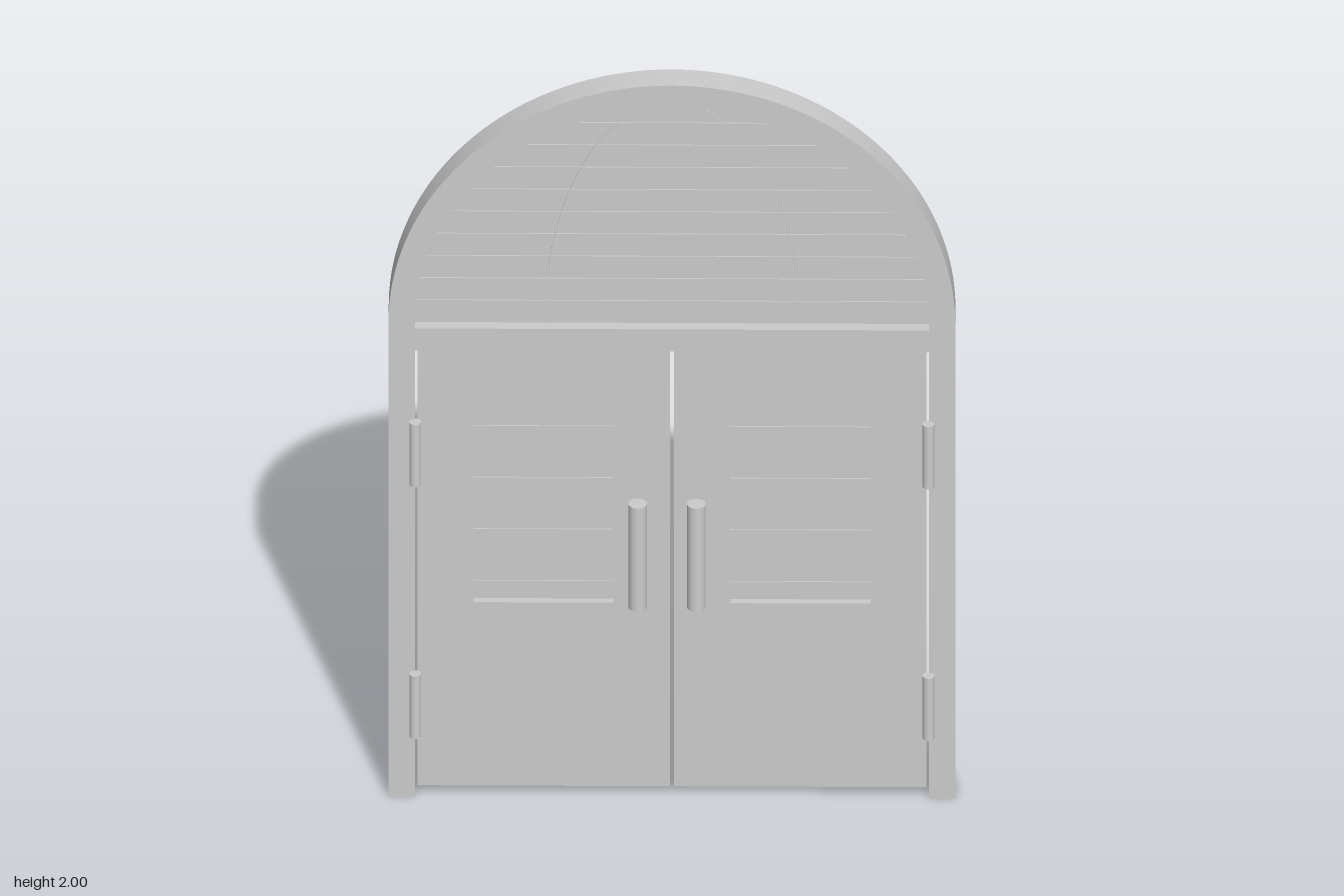
import * as THREE from 'three';
import { toCreasedNormals } from 'three/addons/utils/BufferGeometryUtils.js';

const SPRING = 1.333; // height where the arches begin
const IN = 0.605;     // half width of the openings
const SILL = 1.315;   // underside of the arched light

export function createModel() {
  const model = new THREE.Group();
  const mat = new THREE.MeshStandardMaterial({ color: 0xcccccc });

  function add(name, geo, x = 0, y = 0, z = 0, parent = model) {
    const mesh = new THREE.Mesh(geo, mat);
    mesh.name = name;
    mesh.position.set(x, y, z);
    parent.add(mesh);
    return mesh;
  }

  // extrude a shape so that it is centred on z = 0
  function slab(shape, depth) {
    const geo = new THREE.ExtrudeGeometry(shape, { depth, bevelEnabled: false, curveSegments: 48 });
    geo.translate(0, 0, -depth / 2);
    return toCreasedNormals(geo, 0.5);
  }

  function rect(target, x0, y0, x1, y1) {
    target.moveTo(x0, y0);
    target.lineTo(x1, y0);
    target.lineTo(x1, y1);
    target.lineTo(x0, y1);
    target.closePath();
    return target;
  }

  function archedLight(target) {
    target.moveTo(-IN, SILL);
    target.lineTo(IN, SILL);
    target.lineTo(IN, SPRING);
    target.absarc(0, SPRING, IN, 0, Math.PI, false);
    target.closePath();
    return target;
  }

  // frame: two legs, arch and transom bar in one piece
  const frame = new THREE.Shape();
  frame.moveTo(-0.667, 0);
  frame.lineTo(-IN, 0);
  frame.lineTo(-IN, 1.253);
  frame.lineTo(IN, 1.253);
  frame.lineTo(IN, 0);
  frame.lineTo(0.667, 0);
  frame.lineTo(0.667, SPRING);
  frame.absarc(0, SPRING, 0.667, 0, Math.PI, false);
  frame.closePath();
  frame.holes.push(archedLight(new THREE.Path()));
  add('frame', slab(frame, 0.07));

  // arched pane with very thin glazing lines
  const PANE = 0.014, LINE = 0.02, THIN = 0.002;
  add('archedPane', slab(archedLight(new THREE.Shape()), PANE));
  for (let i = 1; i < 10; i++) {
    const y = SILL + i * 0.0625;
    const half = Math.sqrt(IN * IN - Math.max(0, y - SPRING) ** 2);
    add('archedPaneBar', new THREE.BoxGeometry(2 * half, THIN, LINE), 0, y);
  }
  const height = SPRING + IN - SILL;
  add('archedPaneMullion', new THREE.BoxGeometry(THIN, height, LINE), 0, SILL + height / 2);
  for (const s of [-1, 1]) {
    const curve = new THREE.Shape();
    const outer = new THREE.EllipseCurve(0, SILL, 0.301, height, 0, Math.PI / 2).getPoints(24);
    const inner = new THREE.EllipseCurve(0, SILL, 0.299, height - 0.002, 0, Math.PI / 2).getPoints(24);
    curve.setFromPoints([...outer, ...inner.reverse()].map(p => new THREE.Vector2(p.x * s, p.y)));
    add('archedPaneCurve', slab(curve, LINE));
  }

  // two door leaves with a glazed window each
  for (const s of [-1, 1]) {
    const leaf = new THREE.Group();
    leaf.name = s < 0 ? 'rightDoor' : 'leftDoor';
    model.add(leaf);
    const cx = s * 0.302;
    const shape = rect(new THREE.Shape(), cx - 0.297, 0.025, cx + 0.297, 1.248);
    shape.holes.push(rect(new THREE.Path(), cx - 0.165, 0.54, cx + 0.165, 1.122));
    add('doorPanel', slab(shape, 0.05), 0, 0, 0, leaf);
    add('windowPane', new THREE.BoxGeometry(0.33, 0.582, PANE), cx, 0.831, 0, leaf);
    for (const y of [0.59, 0.735, 0.88, 1.025])
      add('windowBar', new THREE.BoxGeometry(0.33, THIN, LINE), cx, y, 0, leaf);
    add('windowMullion', new THREE.BoxGeometry(THIN, 0.582, LINE), cx, 0.831, 0, leaf);

    // hinges on the front only
    for (const y of [0.265, 0.972])
      add('hinge', new THREE.CylinderGeometry(0.014, 0.014, 0.175, 24), s * 0.604, y, 0.046, leaf);

    // pull handles on both faces
    for (const f of [-1, 1]) {
      const x = s < 0 ? -0.08 : (f > 0 ? 0.058 : 0.066);
      add('handleGrip', new THREE.CylinderGeometry(0.022, 0.022, 0.29, 32), x, 0.715, f * 0.088, leaf);
      for (const y of [0.61, 0.8]) {
        const post = new THREE.CylinderGeometry(0.013, 0.013, 0.07, 20).rotateX(Math.PI / 2);
        add('handlePost', post, x, y, f * 0.053, leaf);
      }
    }
  }
  return model;
}
